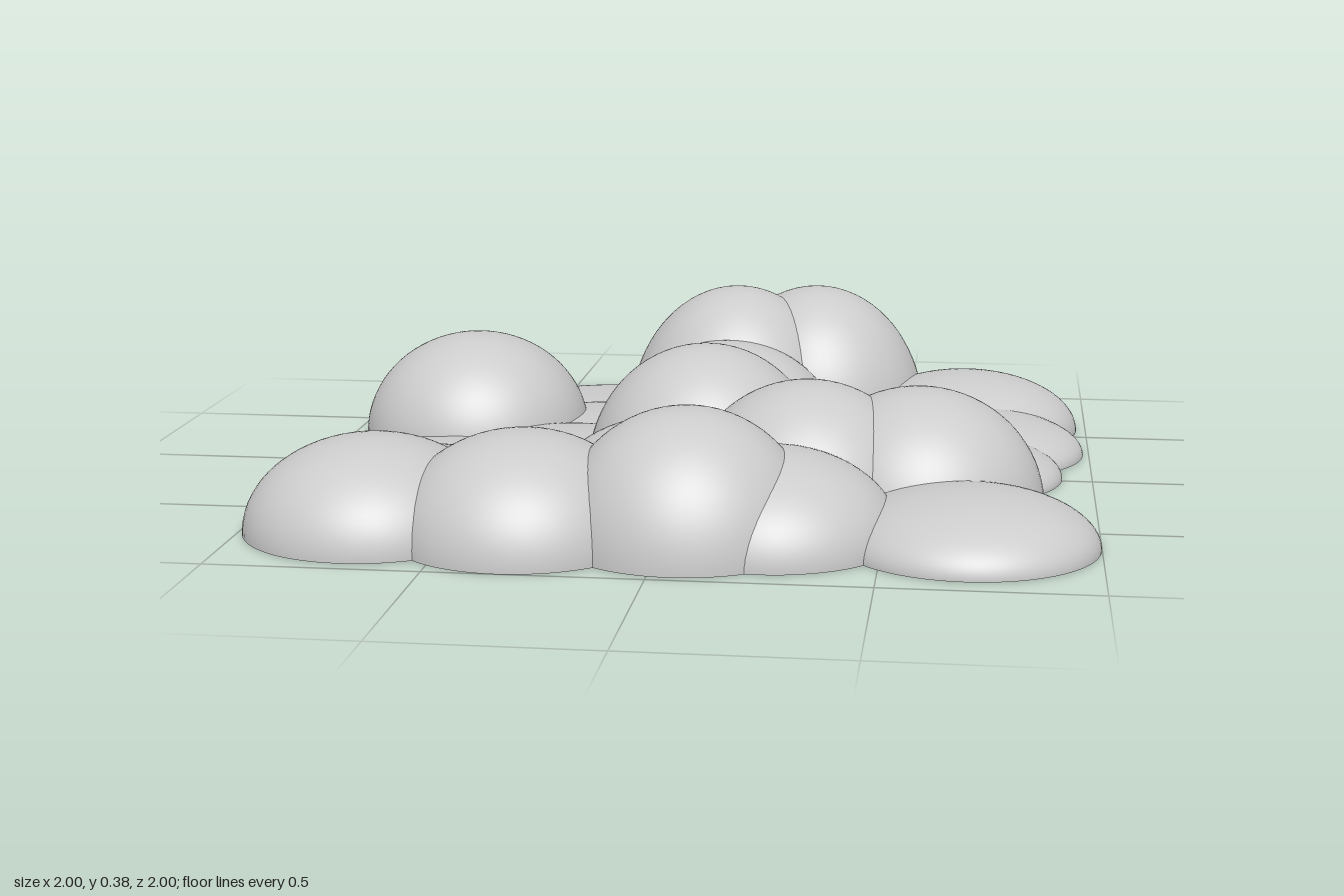
import * as THREE from 'three';
import { mergeGeometries } from 'three/addons/utils/BufferGeometryUtils.js';

const RADIUS = 0.305;

// Rows from front to back; each dome is [x, z, height]
const ROWS = {
  front: [[-0.695, 0.655, 0.225], [-0.33, 0.695, 0.255], [0.05, 0.675, 0.315], [0.24, 0.63, 0.215], [0.695, 0.63, 0.132]],
  midFront: [[-0.675, 0.315, 0.105], [-0.33, 0.35, 0.085], [-0.03, 0.4, 0.225], [0.3, 0.3, 0.305], [0.57, 0.265, 0.287]],
  middle: [[-0.625, 0.02, 0.055], [-0.35, -0.05, 0.08], [0.01, -0.03, 0.325], [0.36, -0.05, 0.075], [0.62, -0.03, 0.1]],
  midBack: [[-0.668, -0.388, 0.275], [-0.32, -0.39, 0.06], [0.03, -0.36, 0.27], [0.32, -0.28, 0.09], [0.68, -0.3, 0.107]],
  back: [[-0.595, -0.595, 0.035], [-0.35, -0.695, 0.035], [0.03, -0.61, 0.38], [0.245, -0.695, 0.37], [0.67, -0.59, 0.155]],
};

// Unit half sphere closed by a flat base
function domeGeometry() {
  const top = new THREE.SphereGeometry(1, 64, 20, 0, Math.PI * 2, 0, Math.PI / 2);
  const base = new THREE.CircleGeometry(1, 64).rotateX(Math.PI / 2);
  return mergeGeometries([top, base]);
}

export function createModel() {
  const model = new THREE.Group();
  model.name = 'domeCluster';
  const material = new THREE.MeshStandardMaterial({ color: 0xcccccc });
  const geometry = domeGeometry();

  // Overlapping domes of equal footprint and varying height
  for (const [rowName, domes] of Object.entries(ROWS)) {
    const row = new THREE.Group();
    row.name = `${rowName}Row`;
    domes.forEach(([x, z, height], i) => {
      const dome = new THREE.Mesh(geometry, material);
      dome.name = `${rowName}Dome${i + 1}`;
      dome.position.set(x, 0, z);
      dome.scale.set(RADIUS, height, RADIUS);
      row.add(dome);
    });
    model.add(row);
  }
  return model;
}
